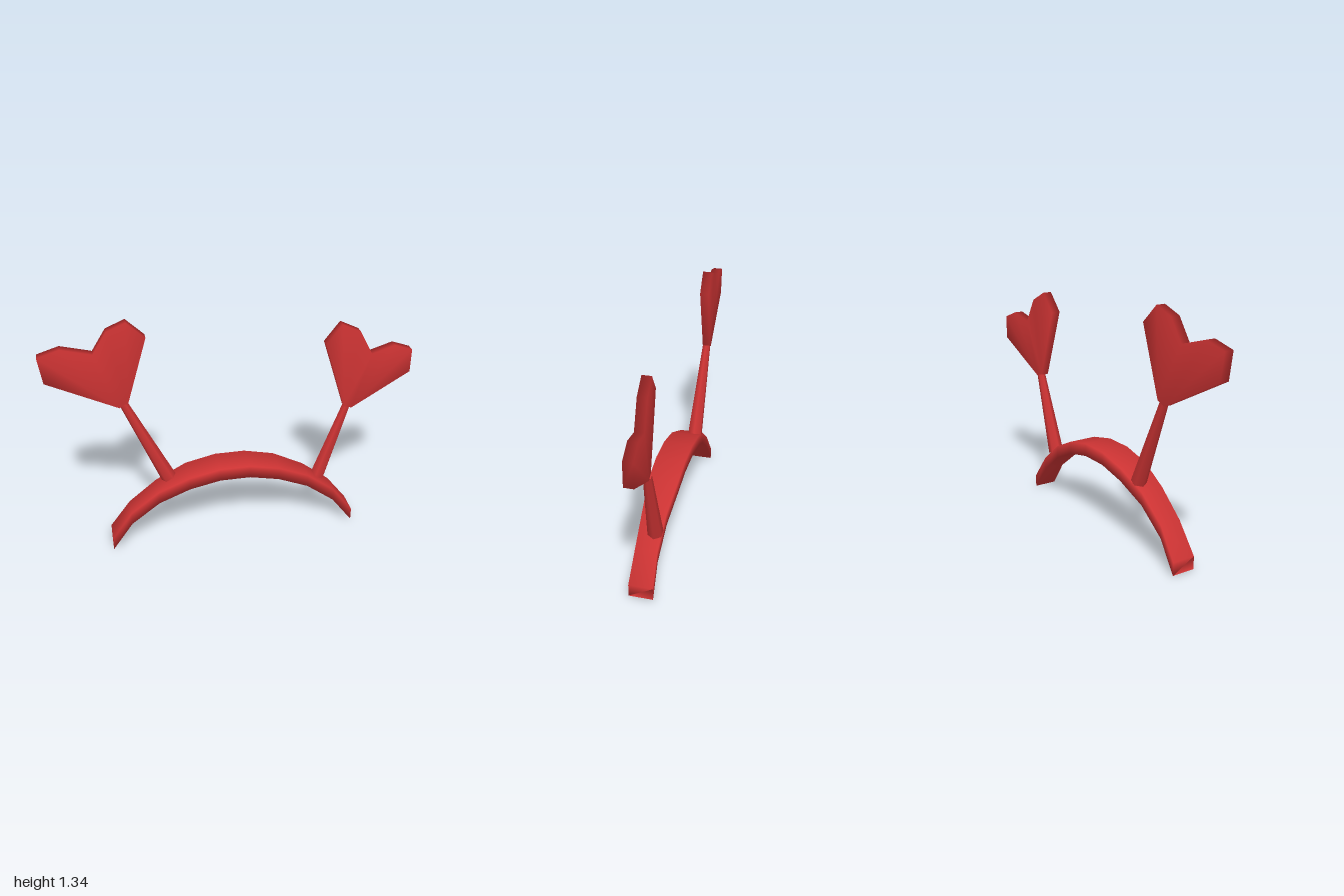
import * as THREE from 'three';
import { mergeVertices } from 'three/addons/utils/BufferGeometryUtils.js';

const red = new THREE.MeshStandardMaterial({ color: 0xcc3333 });

function addMesh(group, name, geometry) {
  const mesh = new THREE.Mesh(geometry, red);
  mesh.name = name;
  group.add(mesh);
  return mesh;
}

// Shares corners so the shading runs smoothly over the edges
function soften(geometry) {
  geometry.deleteAttribute('normal');
  geometry.deleteAttribute('uv');
  const merged = mergeVertices(geometry);
  merged.computeVertexNormals();
  return merged;
}

// Arched band: a box in nine segments, bent through stations of [x, bottom y, half depth]
function bandGeometry() {
  const stations = [
    [-0.71, 0.005, 0.066], [-0.595, 0.163, 0.06], [-0.437, 0.287, 0.066], [-0.265, 0.368, 0.081], [-0.095, 0.405, 0.083],
    [0.073, 0.405, 0.083], [0.24, 0.368, 0.081], [0.414, 0.287, 0.066], [0.575, 0.163, 0.06], [0.692, 0.01, 0.066],
  ];
  const geometry = new THREE.BoxGeometry(9, 1, 2, 9, 1, 1);
  const pos = geometry.attributes.position;
  for (let i = 0; i < pos.count; i++) {
    const [x, y, d] = stations[Math.round(pos.getX(i) + 4.5)];
    pos.setXYZ(i, x, y + (pos.getY(i) > 0 ? 0.072 : 0), pos.getZ(i) * d);
  }
  return soften(geometry);
}

// Tapered six-sided stalk between two points
function addStalk(group, name, from, to) {
  const a = new THREE.Vector3(...from), b = new THREE.Vector3(...to);
  const dir = b.clone().sub(a);
  const geometry = new THREE.CylinderGeometry(0.023, 0.043, dir.length(), 6, 1, false, Math.PI / 2);
  const stalk = addMesh(group, name, geometry);
  stalk.position.copy(a).add(b).multiplyScalar(0.5);
  stalk.quaternion.setFromUnitVectors(new THREE.Vector3(0, 1, 0), dir.normalize());
}

// Heart plate: outline runs anticlockwise from the two tip corners, notch is point 5
function heartGeometry(outline, zAt) {
  const n = outline.length, verts = [], index = [];
  for (const side of [1, -1]) {
    outline.forEach(([x, y], i) => verts.push(x, y, zAt(x) + side * (i < 2 ? 0.021 : 0.025)));
  }
  const face = (a, b, c) => index.push(a, b, c, a + n, c + n, b + n);
  for (let i = 2; i < 5; i++) face(1, i, i + 1);
  face(0, 1, 5);
  for (let i = 5; i < n - 1; i++) face(0, i, i + 1);
  for (let i = 0; i < n; i++) {
    const j = (i + 1) % n;
    index.push(i, i + n, j + n, i, j + n, j);
  }
  const geometry = new THREE.BufferGeometry();
  geometry.setAttribute('position', new THREE.Float32BufferAttribute(verts, 3));
  geometry.setIndex(index);
  geometry.computeVertexNormals();
  return geometry;
}

export function createModel() {
  const group = new THREE.Group();
  group.name = 'heartHeadband';
  addMesh(group, 'band', bandGeometry());

  // Right side (-x)
  addStalk(group, 'rightStalk', [-0.367, 0.388, -0.035], [-0.588, 0.878, -0.048]);
  addMesh(group, 'rightHeart', heartGeometry([
    [-0.61, 0.863], [-0.563, 0.885], [-0.452, 1.25], [-0.548, 1.345], [-0.65, 1.305],
    [-0.724, 1.19], [-0.885, 1.237], [-1, 1.205], [-0.98, 1.06],
  ], (x) => -0.022 - 0.066 * (x + 1)));

  // Left side (+x)
  addStalk(group, 'leftStalk', [0.497, 0.293, -0.028], [0.647, 0.745, -0.035]);
  addMesh(group, 'leftHeart', heartGeometry([
    [0.623, 0.75], [0.668, 0.735], [1, 0.917], [1, 1.05], [0.895, 1.09],
    [0.763, 1.055], [0.687, 1.195], [0.58, 1.25], [0.495, 1.145],
  ], (x) => -0.015 - 0.08 * (x - 0.5)));

  return group;
}
